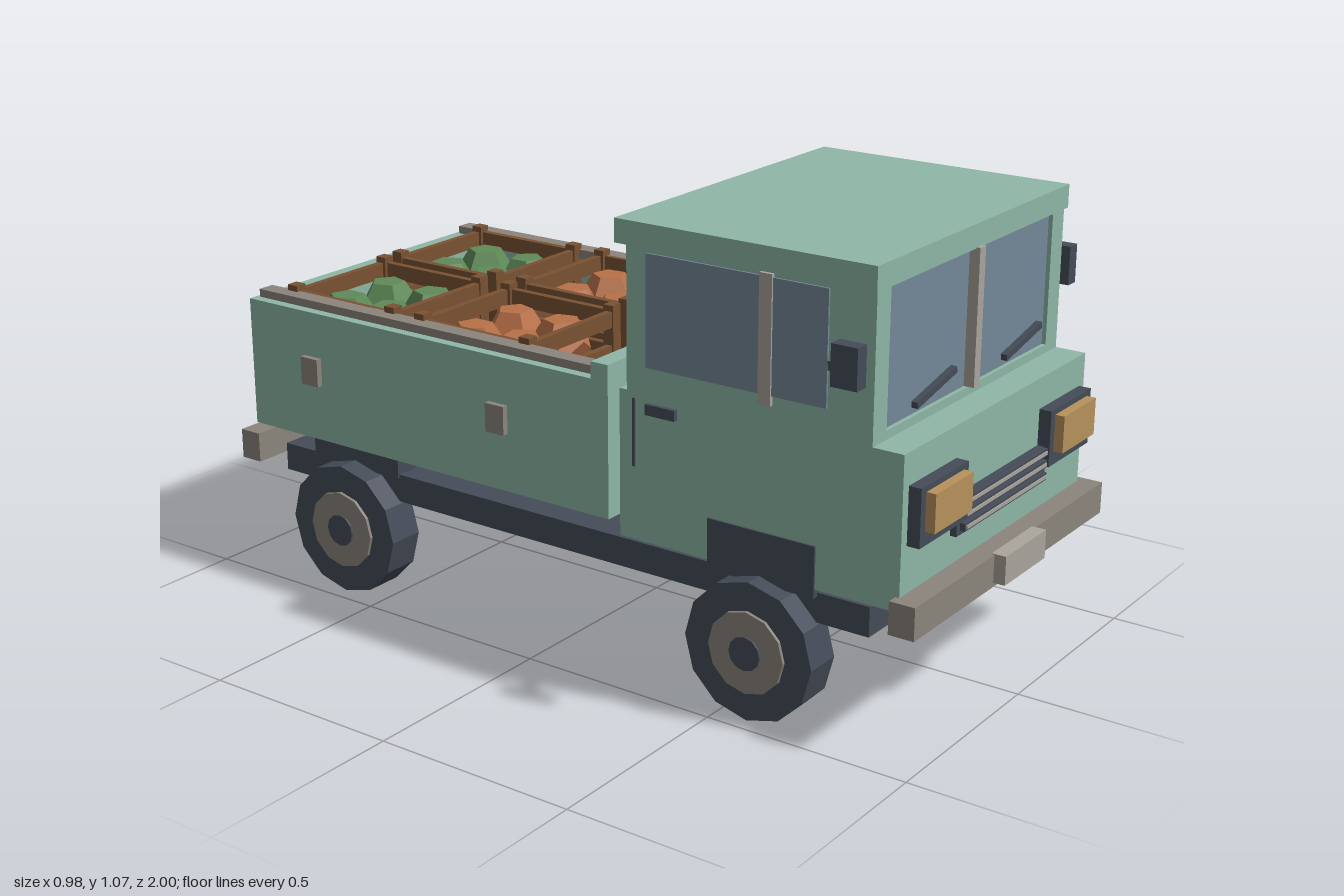
import * as THREE from 'three';

const mat = (color) => new THREE.MeshStandardMaterial({ color, flatShading: true });
const M = {
  paint: mat(0x8fb8a8), dark: mat(0x454c58), grey: mat(0x8c857c), pale: mat(0xaaa59d),
  glass: mat(0x748998), lamp: mat(0xb8925c), red: mat(0xa0524a), wood: mat(0x7a5233),
  greenFruit: mat(0x5f8a58), orangeFruit: mat(0xb87048),
};

export function createModel() {
  const root = new THREE.Group();
  root.name = 'truck';

  // Box given by its limits on each axis
  function box(name, m, [x0, x1], [y0, y1], [z0, z1], parent = root) {
    const mesh = new THREE.Mesh(new THREE.BoxGeometry(x1 - x0, y1 - y0, Math.abs(z1 - z0)), m);
    mesh.position.set((x0 + x1) / 2, (y0 + y1) / 2, (z0 + z1) / 2);
    mesh.name = name;
    parent.add(mesh);
    return mesh;
  }
  // The same box on both sides of the truck
  function pair(name, m, [x0, x1], y, z) {
    box(name + 'Left', m, [x0, x1], y, z);
    box(name + 'Right', m, [-x1, -x0], y, z);
  }
  // Square bar between two points
  function bar(name, m, a, b, t) {
    const p = new THREE.Vector3(...a), q = new THREE.Vector3(...b);
    const mesh = new THREE.Mesh(new THREE.BoxGeometry(t, t, p.distanceTo(q)), m);
    mesh.position.copy(p).lerp(q, 0.5);
    mesh.lookAt(q);
    mesh.name = name;
    root.add(mesh);
  }

  // Chassis and wheel arches
  box('chassis', M.dark, [-0.405, 0.405], [0.25, 0.32], [-0.855, 0.845]);
  box('frontWheelArch', M.dark, [-0.42, 0.42], [0.31, 0.43], [0.44, 0.715]);
  box('rearWheelArch', M.dark, [-0.41, 0.41], [0.31, 0.37], [-0.75, -0.475]);

  // Wheels
  function disc(name, m, r, x0, x1, parent) {
    const g = new THREE.CylinderGeometry(r, r, x1 - x0, 12).rotateZ(Math.PI / 2);
    const mesh = new THREE.Mesh(g, m);
    mesh.position.x = (x0 + x1) / 2;
    mesh.name = name;
    parent.add(mesh);
  }
  for (const z of [0.577, -0.615]) for (const s of [1, -1]) {
    const wheel = new THREE.Group();
    wheel.name = (z > 0 ? 'front' : 'rear') + 'Wheel' + (s > 0 ? 'Left' : 'Right');
    disc('tyre', M.dark, 0.164, 0.37, 0.463, wheel);
    disc('rim', M.grey, 0.097, 0.44, 0.471, wheel);
    disc('hubCap', M.dark, 0.04, 0.44, 0.476, wheel);
    wheel.position.set(0, 0.164, z);
    wheel.rotation.y = s > 0 ? 0 : Math.PI;
    root.add(wheel);
  }

  // Cab
  box('cabLower', M.paint, [-0.415, 0.415], [0.33, 0.68], [0.2, 0.92]);
  box('cabUpper', M.paint, [-0.415, 0.415], [0.68, 1.015], [0.22, 0.785]);
  pair('frontPillar', M.paint, [0.36, 0.415], [0.68, 1.015], [0.785, 0.845]);
  box('windscreenSill', M.paint, [-0.36, 0.36], [0.68, 0.7], [0.785, 0.845]);
  box('windscreen', M.glass, [-0.36, 0.36], [0.7, 1.015], [0.785, 0.835]);
  box('windscreenPost', M.pale, [-0.013, 0.013], [0.7, 1.015], [0.83, 0.86]);
  box('roof', M.paint, [-0.425, 0.425], [1.012, 1.067], [0.195, 0.85]);
  pair('sideWindow', M.glass, [0.405, 0.42], [0.742, 1], [0.275, 0.735]);
  pair('windowPost', M.pale, [0.405, 0.424], [0.72, 1.008], [0.568, 0.6]);
  box('rearWindow', M.glass, [-0.29, 0.29], [0.77, 0.98], [0.195, 0.225]);
  pair('doorHandle', M.dark, [0.41, 0.425], [0.635, 0.66], [0.275, 0.355]);
  pair('doorSeam', M.dark, [0.41, 0.418], [0.505, 0.665], [0.236, 0.243]);

  // Wipers and mirrors
  for (const x of [-0.255, 0.143]) {
    bar('wiper', M.dark, [x, 0.727, 0.85], [x + 0.167, 0.763, 0.85], 0.015);
  }
  pair('mirror', M.dark, [0.455, 0.49], [0.82, 0.912], [0.785, 0.848]);
  for (const s of [1, -1]) {
    bar('mirrorArm', M.dark, [s * 0.41, 0.835, 0.74], [s * 0.465, 0.857, 0.81], 0.02);
  }

  // Front lights, grille and bumper
  pair('headlightFrame', M.dark, [0.192, 0.392], [0.473, 0.606], [0.91, 0.95]);
  pair('headlight', M.lamp, [0.212, 0.372], [0.505, 0.593], [0.94, 0.973]);
  box('grille', M.dark, [-0.205, 0.205], [0.433, 0.52], [0.91, 0.935]);
  for (const y of [0.452, 0.482, 0.51]) {
    box('grilleSlat', M.dark, [-0.19, 0.19], [y - 0.009, y + 0.009], [0.93, 0.947]);
    box('grilleTrim', M.pale, [-0.185, 0.185], [y - 0.004, y + 0.004], [0.94, 0.95]);
  }
  box('frontBumper', M.grey, [-0.44, 0.44], [0.288, 0.364], [0.91, 0.972]);
  box('frontPlate', M.pale, [-0.095, 0.095], [0.298, 0.366], [0.965, 1]);

  // Load bed
  box('bedFloor', M.grey, [-0.38, 0.38], [0.375, 0.47], [-0.92, 0.15]);
  box('bedBase', M.paint, [-0.42, 0.42], [0.365, 0.385], [-0.93, 0.17]);
  pair('bedSide', M.paint, [0.365, 0.425], [0.365, 0.69], [-0.93, 0.15]);
  box('bedFront', M.paint, [-0.425, 0.425], [0.365, 0.73], [0.128, 0.175]);
  box('bedFrontLedge', M.paint, [-0.365, 0.365], [0.47, 0.68], [0.108, 0.13]);
  box('tailgate', M.paint, [-0.425, 0.425], [0.365, 0.69], [-0.935, -0.9]);
  pair('bedRail', M.grey, [0.356, 0.4], [0.685, 0.71], [-0.925, 0.128]);
  for (const z of [-0.142, -0.728]) {
    pair('sideLatch', M.grey, [0.42, 0.44], [0.507, 0.577], [z - 0.027, z + 0.027]);
  }

  // Rear lights and bumper
  pair('tailLightFrame', M.dark, [0.2, 0.38], [0.36, 0.46], [-0.958, -0.93]);
  pair('tailLight', M.red, [0.232, 0.358], [0.373, 0.447], [-0.985, -0.95]);
  pair('tailgateHinge', M.grey, [0.195, 0.3], [0.455, 0.483], [-0.955, -0.93]);
  box('tailBar', M.dark, [-0.21, 0.21], [0.36, 0.405], [-0.95, -0.93]);
  box('rearBumper', M.grey, [-0.437, 0.437], [0.265, 0.34], [-0.98, -0.92]);
  box('rearPlate', M.pale, [-0.095, 0.095], [0.29, 0.355], [-1, -0.97]);

  // Crates of produce
  const fruitGeometry = new THREE.DodecahedronGeometry(0.072).rotateX(-Math.atan(2 / (1 + Math.sqrt(5))));
  function crate(cx, cz, fruit) {
    const g = new THREE.Group(), w = 0.17, top = 0.71, floor = 0.47;
    g.name = 'crate';
    box('crateBase', M.wood, [-w, w], [floor, 0.6], [-w, w], g);
    for (const s of [1, -1]) {
      for (const y of [0.5, 0.585, 0.67]) {
        const a = s * (w - 0.008), lim = [a - 0.009, a + 0.009];
        box('crateSlat', M.wood, lim, [y, y + 0.04], [-w, w], g);
        box('crateSlat', M.wood, [-w, w], [y, y + 0.04], lim, g);
      }
      for (const t of [1, -1]) {
        const px = s * 0.16, pz = t * 0.16;
        box('cratePost', M.wood, [px - 0.015, px + 0.015], [floor, top + 0.015], [pz - 0.015, pz + 0.015], g);
        const f = new THREE.Mesh(fruitGeometry, fruit);
        f.position.set(s * 0.075, 0.635, t * 0.072);
        f.rotation.y = s * 0.5 + t * 0.9 + cx;
        f.name = 'fruit';
        g.add(f);
      }
    }
    g.position.set(cx, 0, cz);
    root.add(g);
  }
  for (const x of [-0.191, 0.191]) {
    crate(x, -0.685, M.greenFruit);
    crate(x, -0.27, M.orangeFruit);
  }
  return root;
}
